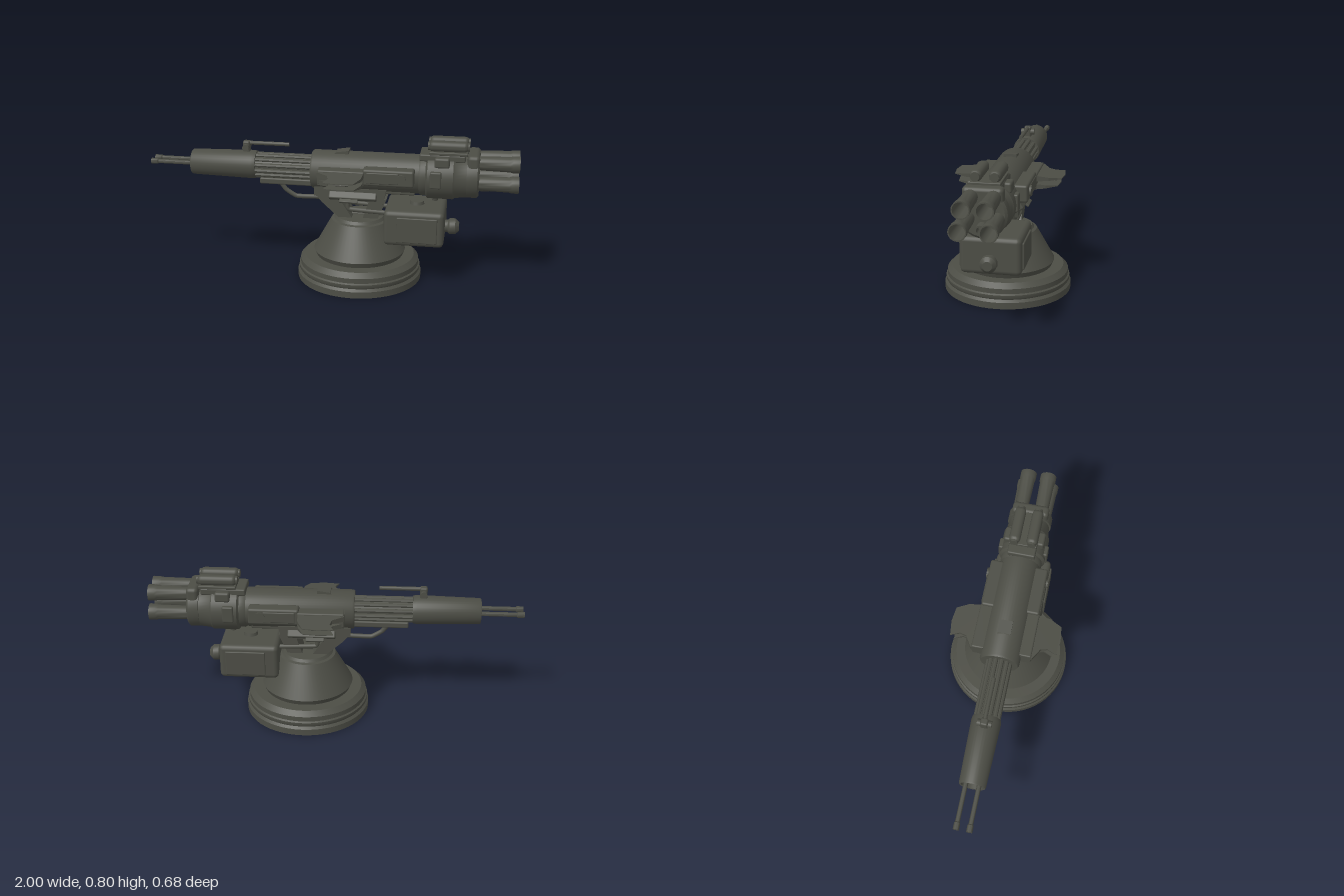
import * as THREE from 'three';
import { toCreasedNormals } from 'three/addons/utils/BufferGeometryUtils.js';
import { RoundedBoxGeometry } from 'three/addons/geometries/RoundedBoxGeometry.js';

export function createModel() {
  const model = new THREE.Group();
  const gunmetal = new THREE.MeshStandardMaterial({ color: 0x4c4d45 });
  gunmetal.name = 'gunmetal';

  const add = (name, geo, x = 0, y = 0, z = 0) => {
    const m = new THREE.Mesh(geo, gunmetal);
    m.name = name;
    m.position.set(x, y, z);
    model.add(m);
    return m;
  };
  const lathe = (profile, seg = 40) => toCreasedNormals(
    new THREE.LatheGeometry(profile.map(([h, r]) => new THREE.Vector2(r, h)), seg), 0.6);
  // Turned part lying along x; profile entries are [x, radius]
  const turned = (name, profile, y, z = 0, seg = 32) =>
    add(name, lathe(profile, seg).rotateZ(-Math.PI / 2), 0, y, z);
  const rod = (name, x0, x1, r, y, z, seg = 12) =>
    turned(name, [[x0, 0], [x0, r], [x1, r], [x1, 0]], y, z, seg);
  // Box given by its limits on each axis
  const box = (name, x0, x1, y0, y1, z0, z1, round = 0.008) => add(name,
    new RoundedBoxGeometry(x1 - x0, y1 - y0, z1 - z0, 2, round),
    (x0 + x1) / 2, (y0 + y1) / 2, (z0 + z1) / 2);
  const shapeOf = pts => new THREE.Shape(pts.map(p => new THREE.Vector2(...p)));
  // Side profile in x/y, extruded between two z values
  const plate = (name, pts, z0, z1) => add(name,
    new THREE.ExtrudeGeometry(shapeOf(pts), { depth: z1 - z0, bevelEnabled: false }), 0, 0, z0);
  const pipe = (name, pts, r) => add(name, new THREE.TubeGeometry(
    new THREE.CatmullRomCurve3(pts.map(p => new THREE.Vector3(...p)), false, 'catmullrom', 0.2), 32, r, 8));

  // Pedestal
  add('pedestal', lathe([[0, 0], [0, 0.34], [0.035, 0.34], [0.048, 0.328], [0.056, 0.333], [0.072, 0.333],
    [0.078, 0.325], [0.105, 0.325], [0.13, 0.3], [0.13, 0.238], [0.158, 0.25], [0.33, 0.155],
    [0.335, 0.14], [0.35, 0.13], [0.35, 0]], 56), 0.16, 0, 0);

  // Yoke: slanted leg, cradle and rear strut
  plate('yokeLeg', [[-0.08, 0.51], [-0.065, 0.46], [-0.04, 0.43], [0.06, 0.34], [0.13, 0.34],
    [0.07, 0.43], [0.1, 0.46], [0.1, 0.51]], -0.065, 0.065);
  plate('cradle', [[-0.08, 0.47], [0.2, 0.45], [0.29, 0.43], [0.31, 0.52], [-0.08, 0.52]], -0.08, 0.08);
  plate('rearStrut', [[0.18, 0.34], [0.26, 0.34], [0.31, 0.46], [0.22, 0.46]], -0.06, 0.06);
  rod('turntable', 0.03, 0.29, 0.014, 0.35, 0);

  // Ammunition box with knob, lid plates and feed bracket
  box('ammoBox', 0.305, 0.625, 0.235, 0.43, -0.155, 0.155, 0.025);
  turned('ammoKnob', [[0.61, 0], [0.61, 0.034], [0.64, 0.034], [0.65, 0.043], [0.68, 0.043], [0.7, 0.025], [0.7, 0]], 0.31, 0, 20);
  for (const s of [-1, 1]) {
    box('ammoSidePlate', 0.375, 0.59, 0.26, 0.4, s * 0.158 - 0.006, s * 0.158 + 0.006, 0.005);
    pipe('feedBracket', [[0.1, 0.43, s * 0.055], [0.11, 0.395, s * 0.055], [0.32, 0.385, s * 0.055]], 0.013);
  }
  add('ammoCap', new THREE.CylinderGeometry(0.035, 0.04, 0.02, 20), 0.47, 0.437, 0);

  // Receiver and rear collar
  turned('receiver', [[-0.1, 0], [-0.1, 0.1], [-0.09, 0.106], [0.49, 0.106], [0.49, 0]], 0.597, 0, 40);
  box('receiverSpine', 0.02, 0.46, 0.49, 0.53, -0.055, 0.055);
  turned('collar', [[0.47, 0], [0.47, 0.1], [0.49, 0.112], [0.515, 0.112], [0.525, 0.126], [0.66, 0.126],
    [0.67, 0.118], [0.73, 0.112], [0.74, 0.09], [0.74, 0]], 0.597, 0, 40);
  plate('rearSight', [[0.02, 0.69], [0.03, 0.705], [0.1, 0.716], [0.1, 0.69]], -0.035, 0.035);
  box('collarTopRib', 0.48, 0.72, 0.69, 0.728, -0.075, 0.075);
  add('collarStud', new THREE.CylinderGeometry(0.022, 0.016, 0.03, 14), 0.565, 0.47, 0);

  // Rear launcher: mounting plate, four open tubes and a centre drain
  turned('launcherMount', [[0.73, 0], [0.73, 0.12], [0.785, 0.12], [0.795, 0.108], [0.795, 0]], 0.605);
  box('launcherBridge', 0.73, 0.795, 0.64, 0.735, -0.1, 0.1, 0.02);
  for (const s of [-1, 1]) for (const [y, z] of [[0.69, 0.055], [0.585, 0.072]])
    turned('launchTube', [[0.78, 0], [0.78, 0.034], [0.81, 0.037], [0.95, 0.04], [0.965, 0.044], [1, 0.044],
      [1, 0.038], [0.84, 0.033], [0.84, 0]], y, s * z, 24);
  turned('drainPipe', [[0.78, 0], [0.78, 0.026], [0.85, 0.026], [0.85, 0.018], [0.8, 0.018], [0.8, 0]], 0.545, 0, 16);

  // Twin optic pod
  box('opticBase', 0.53, 0.73, 0.725, 0.742, -0.075, 0.075, 0.004);
  for (const s of [-1, 1]) {
    box('opticHousing', 0.525, 0.735, 0.743, 0.798, s * 0.047 - 0.03, s * 0.047 + 0.03, 0.024);
    rod('opticLens', 0.521, 0.739, 0.022, 0.77, s * 0.047, 16);
  }

  // Forward tube of ribs and the barrel shroud
  rod('barrelCore', -0.43, -0.08, 0.058, 0.603, 0, 24);
  for (let i = 0; i < 12; i++) {
    const a = (i + 0.5) / 12 * Math.PI * 2;
    rod('coolingRib', -0.43, -0.08, 0.012, 0.603 + Math.cos(a) * 0.06, Math.sin(a) * 0.06, 8);
  }
  turned('barrelShroud', [[-0.7, 0], [-0.7, 0.052], [-0.77, 0.058], [-0.772, 0.066], [-0.765, 0.07],
    [-0.43, 0.078], [-0.41, 0.074], [-0.41, 0]], 0.605);
  for (const s of [-1, 1])
    turned('muzzleRod', [[-1, 0], [-1, 0.016], [-0.965, 0.016], [-0.96, 0.012], [-0.69, 0.012], [-0.69, 0]], 0.606, s * 0.034, 12);

  // Front sight with a swing rod
  box('sightPost', -0.485, -0.445, 0.67, 0.738, -0.02, 0.02, 0.01);
  rod('sightRod', -0.46, -0.23, 0.011, 0.726, 0);
  add('sightPivot', new THREE.CylinderGeometry(0.018, 0.018, 0.075, 14).rotateX(Math.PI / 2), -0.465, 0.705, 0);

  // Rail and hand loop under the barrel
  box('underRail', -0.39, -0.06, 0.505, 0.54, -0.035, 0.035);
  pipe('handLoop', [[-0.28, 0.51, 0], [-0.25, 0.47, 0], [-0.19, 0.435, 0], [-0.05, 0.437, 0]], 0.013);

  // Mirrored equipment on both flanks
  const blade = shapeOf([[-0.05, 0.1], [-0.05, 0.165], [0.01, 0.2], [0.02, 0.235], [0, 0.285], [0.08, 0.295],
    [0.16, 0.285], [0.19, 0.22], [0.2, 0.1]]);
  for (const s of [-1, 1]) {
    const mid = s * 0.12;
    box('vaneMount', -0.05, 0.2, 0.56, 0.64, mid - 0.04, mid + 0.04);
    box('sideHousing', 0.19, 0.46, 0.565, 0.655, mid - 0.037, mid + 0.037, 0.012);
    box('housingCover', 0.21, 0.38, 0.58, 0.64, s * 0.155 - 0.006, s * 0.155 + 0.006, 0.005);
    add('sideBolt', new THREE.CylinderGeometry(0.024, 0.028, 0.08, 16).rotateX(Math.PI / 2), 0.395, 0.612, s * 0.128);
    box('collarLug', 0.54, 0.6, 0.56, 0.65, s * 0.115 - 0.02, s * 0.115 + 0.02);
    box('collarClamp', 0.56, 0.64, 0.665, 0.72, s * 0.09 - 0.02, s * 0.09 + 0.02, 0.012);

    // Vanes thin out towards their outer edge
    for (const [yIn, yOut, reach] of [[0.618, 0.612, 1], [0.572, 0.573, 0.93]]) {
      const geo = new THREE.ExtrudeGeometry(blade, { depth: 1, bevelEnabled: false });
      const p = geo.attributes.position;
      for (let i = 0; i < p.count; i++) {
        const z = p.getY(i), t = (z - 0.1) / 0.195;
        const thick = THREE.MathUtils.lerp(0.042, 0.004, Math.min(1, t * 1.05));
        p.setXYZ(i, p.getX(i), THREE.MathUtils.lerp(yIn, yOut, t) + (0.5 - p.getZ(i)) * thick, z * reach);
      }
      if (s < 0) {
        // Mirror, then restore the corner order
        geo.scale(1, 1, -1);
        for (let i = 0; i < p.count; i += 3) {
          const a = new THREE.Vector3().fromBufferAttribute(p, i), b = new THREE.Vector3().fromBufferAttribute(p, i + 1);
          p.setXYZ(i, b.x, b.y, b.z);
          p.setXYZ(i + 1, a.x, a.y, a.z);
        }
      }
      geo.computeVertexNormals();
      add('sideVane', geo);
    }
    rod('vanePin', 0.05, 0.13, 0.006, 0.595, s * 0.252, 8);

    // Slanted braces below the receiver
    box('underBrace', 0.0, 0.26, 0.455, 0.5, s * 0.075 - 0.018, s * 0.075 + 0.018).rotation.x = -s * 0.6;
    box('braceClip', 0.06, 0.16, 0.452, 0.464, s * 0.1 - 0.014, s * 0.1 + 0.014, 0.004).rotation.x = s * 0.6;
  }
  return model;
}
